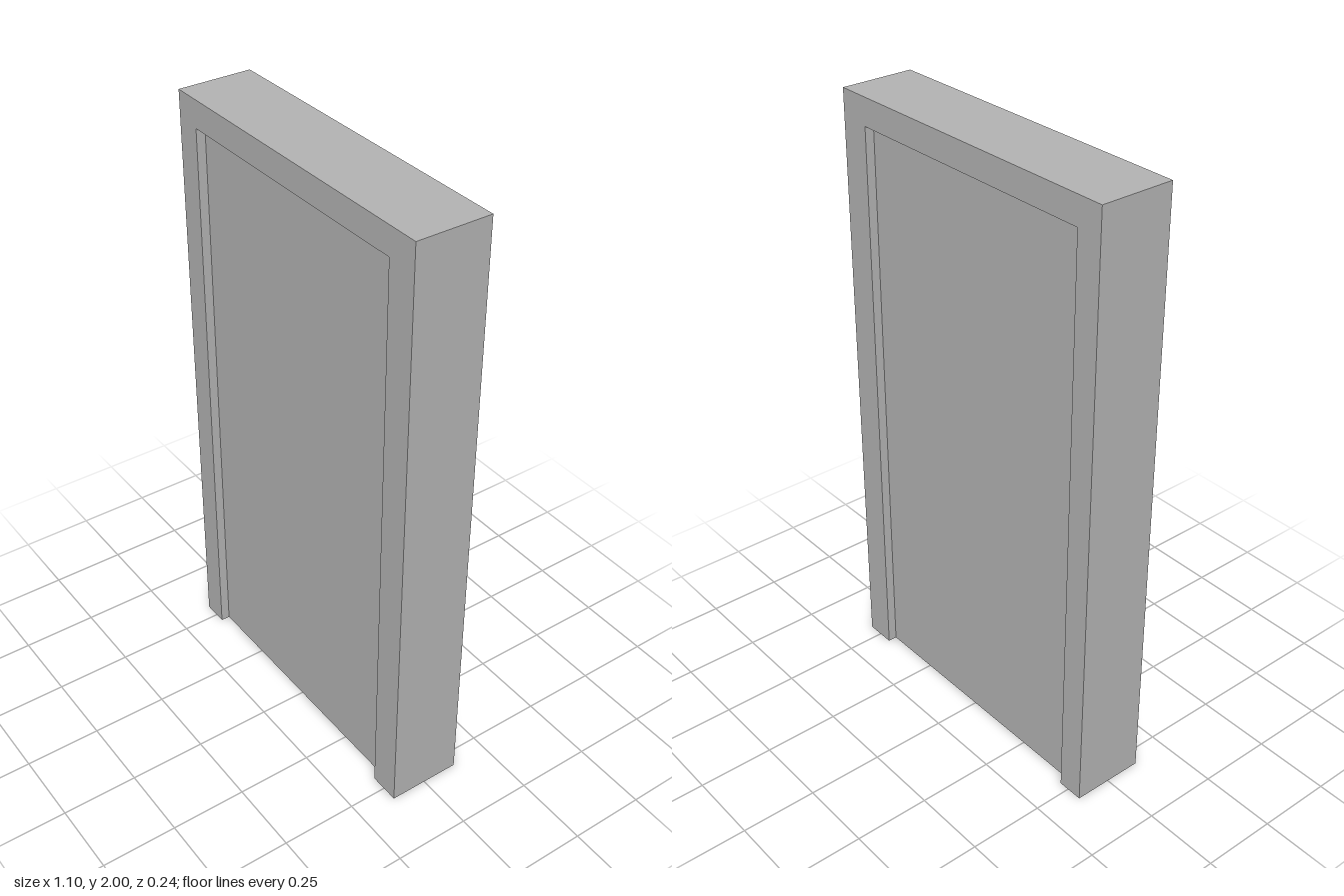
import * as THREE from 'three';

// Hollow door frame: outer shell, a U-shaped face on each side, shallow reveals and thin panels
const W = 0.552, H = 2, D = 0.122;            // half width, height, half depth
const L = -0.465, R = 0.449, T = 1.91;        // opening: both sides and top
const RECESS = 0.03;                          // panel set back from the face

export function createModel() {
  const group = new THREE.Group();
  const grey = new THREE.MeshStandardMaterial({ color: 0xb2b2b2, side: THREE.DoubleSide });
  grey.name = 'grey';

  const add = (name, geometry, x, y, z, rx = 0, ry = 0) => {
    const mesh = new THREE.Mesh(geometry, grey);
    mesh.name = name;
    mesh.position.set(x, y, z);
    mesh.rotation.set(rx, ry, 0);
    group.add(mesh);
  };
  const plane = (w, h) => new THREE.PlaneGeometry(w, h);
  const q = Math.PI / 2;

  // Outer shell
  add('leftSide', plane(2 * D, H), W, H / 2, 0, 0, q);
  add('rightSide', plane(2 * D, H), -W, H / 2, 0, 0, -q);
  add('topSide', plane(2 * W, 2 * D), 0, H, 0, -q);

  // Feet of the two jambs; the space between the panels stays open below
  add('leftJambFoot', plane(W - R, 2 * D), (W + R) / 2, 0, 0, q);
  add('rightJambFoot', plane(W + L, 2 * D), (L - W) / 2, 0, 0, q);

  for (const s of [1, -1]) {
    const side = s > 0 ? 'front' : 'back';
    const m = s > 0 ? 1 : -1;

    // U-shaped face, mirrored in x before it is turned to the back
    const outline = [[-W, 0], [L, 0], [L, T], [R, T], [R, 0], [W, 0], [W, H], [-W, H]];
    const shape = new THREE.Shape(outline.map(([x, y]) => new THREE.Vector2(x * m, y)));
    add(side + 'Frame', new THREE.ShapeGeometry(shape), 0, 0, s * D, 0, s > 0 ? 0 : Math.PI);

    // Reveals around the opening
    const z = s * (D - RECESS / 2);
    add(side + 'LeftReveal', plane(RECESS, T), R, T / 2, z, 0, -q);
    add(side + 'RightReveal', plane(RECESS, T), L, T / 2, z, 0, q);
    add(side + 'TopReveal', plane(R - L, RECESS), (L + R) / 2, T, z, q);

    // Door panel
    add(side + 'Panel', plane(R - L, T), (L + R) / 2, T / 2, s * (D - RECESS), 0, s > 0 ? 0 : Math.PI);
  }
  return group;
}
